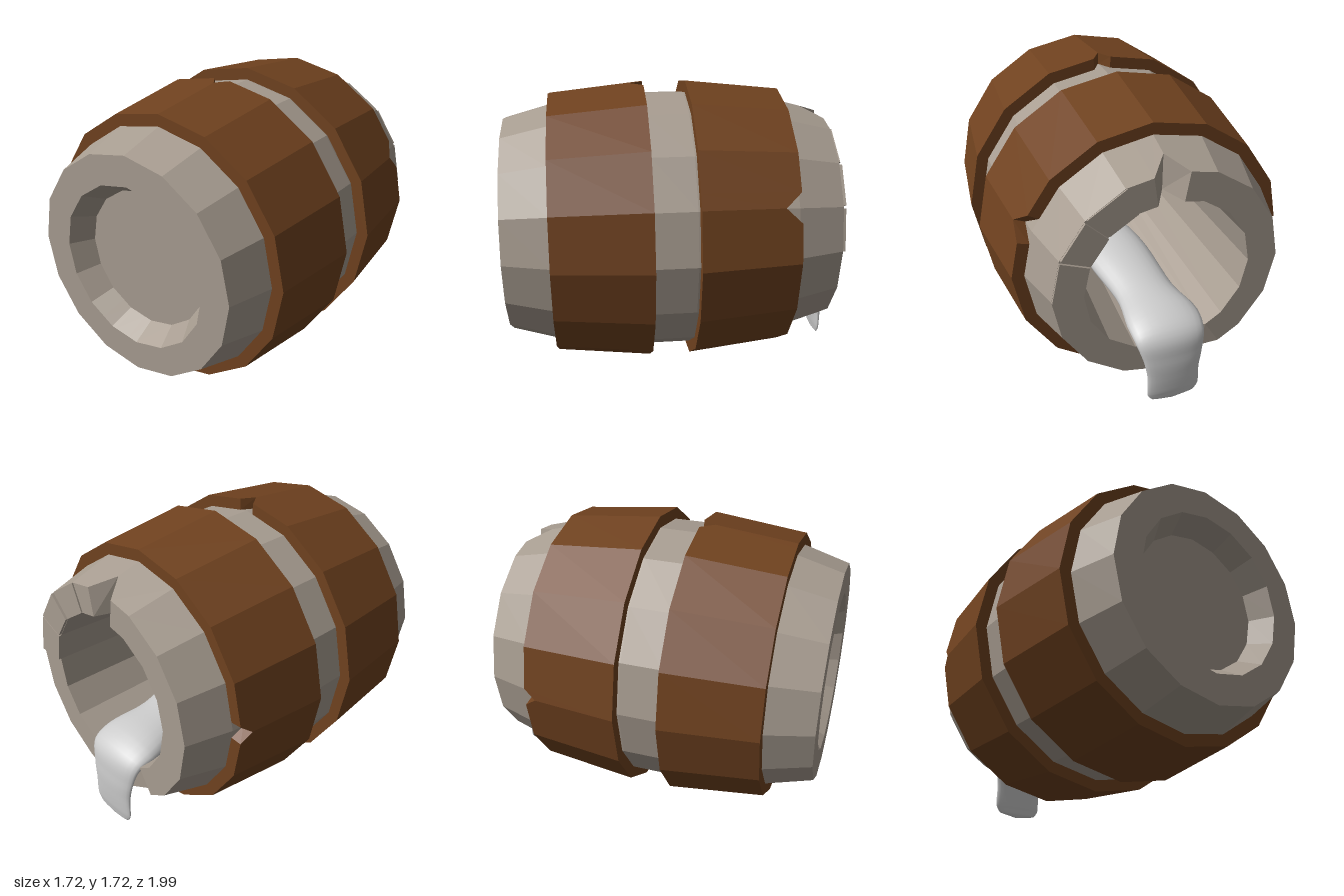
import * as THREE from 'three';

const CY = 0.86, STEP = Math.PI / 8;
const wood = new THREE.MeshStandardMaterial({ color: 0xa89d91, flatShading: true, side: THREE.DoubleSide });
const hoopMat = new THREE.MeshStandardMaterial({ color: 0x70421f, flatShading: true, side: THREE.DoubleSide });
const grey = new THREE.MeshStandardMaterial({ color: 0xcccccc });

// Point on a 16-sided ring; k counts corners clockwise from the top, fractions lie on the flats
function onRing(k, r, z) {
  const f = k - Math.floor(k) - 0.5;
  const R = r * Math.cos(STEP / 2) / Math.cos(f * STEP);
  return new THREE.Vector3(Math.sin(k * STEP) * R, CY + Math.cos(k * STEP) * R, z);
}

// V-shaped chip: depth at corner position k for a chip centred on c
function chip(k, c, w, depth) {
  let d = Math.abs(k - c) % 16;
  d = Math.min(d, 16 - d);
  return Math.max(0, 1 - d / w) * depth;
}

// Sweep a profile [[r, z], ...] around the ring, letting it vary with k
function sweep(extra, profile) {
  const ks = [...new Set([...Array(16).keys(), ...extra.map(k => (k + 16) % 16)])].sort((a, b) => a - b);
  const pos = [];
  ks.forEach((k0, i) => {
    const k1 = i + 1 < ks.length ? ks[i + 1] : 16;
    const p = profile(k0).map(([r, z]) => onRing(k0, r, z));
    const q = profile(k1).map(([r, z]) => onRing(k1, r, z));
    for (let j = 0; j + 1 < p.length; j++) {
      for (const tri of [[p[j], q[j], q[j + 1]], [p[j], q[j + 1], p[j + 1]]]) {
        if (new THREE.Triangle(...tri).getArea() > 1e-7) tri.forEach(v => pos.push(v.x, v.y, v.z));
      }
    }
  });
  const g = new THREE.BufferGeometry();
  g.setAttribute('position', new THREE.Float32BufferAttribute(pos, 3));
  g.computeVertexNormals();
  return g;
}

function add(group, name, geo, mat) {
  const m = new THREE.Mesh(geo, mat);
  m.name = name;
  group.add(m);
}

// Tongue-like drape: elliptical sections along a path in the y-z plane
function drapeGeometry() {
  // x, y, z, half width, half thickness
  const rows = [
    [0.04, 0.54, 0.2, 0.01, 0.01],
    [0.04, 0.54, 0.14, 0.15, 0.08],
    [0.03, 0.53, -0.2, 0.2, 0.1],
    [-0.01, 0.49, -0.55, 0.18, 0.09],
    [-0.03, 0.47, -0.8, 0.22, 0.08],
    [-0.03, 0.43, -0.91, 0.21, 0.06],
    [-0.035, 0.32, -0.95, 0.18, 0.04],
    [-0.035, 0.2, -0.962, 0.16, 0.032],
    [-0.035, 0.08, -0.966, 0.16, 0.022],
    [-0.035, 0.03, -0.966, 0.13, 0.014],
    [-0.035, 0.008, -0.966, 0.01, 0.003]
  ];
  const path = new THREE.CatmullRomCurve3(rows.map(r => new THREE.Vector3(r[0], r[1], r[2])));
  const size = new THREE.CatmullRomCurve3(rows.map(r => new THREE.Vector3(r[3], r[4], 0)));
  const N = 50, M = 24, pos = [], idx = [];
  const X = new THREE.Vector3(1, 0, 0);
  for (let i = 0; i <= N; i++) {
    const c = path.getPoint(i / N), s = size.getPoint(i / N);
    const n = X.clone().cross(path.getTangent(i / N)).normalize();
    for (let j = 0; j < M; j++) {
      const a = j / M * Math.PI * 2;
      const p = c.clone().addScaledVector(X, s.x * Math.cos(a)).addScaledVector(n, s.y * Math.sin(a));
      pos.push(p.x, p.y, p.z);
      if (i < N) {
        const a0 = i * M + j, b0 = i * M + (j + 1) % M;
        idx.push(a0, a0 + M, b0, b0, a0 + M, b0 + M);
      }
    }
  }
  const g = new THREE.BufferGeometry();
  g.setAttribute('position', new THREE.Float32BufferAttribute(pos, 3));
  g.setIndex(idx);
  g.computeVertexNormals();
  return g;
}

export function createModel() {
  const group = new THREE.Group();
  group.name = 'barrel';

  // Barrel body: recessed front lid, bulging wall, chipped rear rim and deep hollow
  add(group, 'barrelBody', sweep([-0.4, 0.4, 8.3, 8.85, 9.4], k => {
    const d = chip(k, 0, 0.4, 0.13) + chip(k, 8.85, 0.55, 0.1);
    return [
      [0, 0.87], [0.405, 0.87], [0.48, 1], [0.655, 1], [0.73, 0.73], [0.79, 0.17],
      [0.79, -0.07], [0.73, -0.64], [0.655 + d * 0.28, -0.91 + d], [0.48, -0.91 + d],
      [0.41, 0.75], [0, 0.75]
    ];
  }), wood);

  // Hoops with small V chips in their rear edges
  const hoop = (name, front, rear, rf, rr, chips) => {
    const extra = chips.flatMap(([c, w]) => [c - w, c, c + w]);
    add(group, name, sweep(extra, k => {
      const d = chips.reduce((s, [c, w, h]) => s + chip(k, c, w, h), 0);
      const slope = (rf - rr) / (front - rear) * d;
      return [
        [rf - 0.07, front], [rf, front], [rr + slope, rear + d],
        [rr - 0.07 + slope, rear + d], [rf - 0.07, front]
      ];
    }), hoopMat);
  };
  hoop('frontHoop', 0.73, 0.17, 0.8, 0.86, [[0, 0.16, 0.08]]);
  hoop('rearHoop', -0.08, -0.64, 0.86, 0.8, [[3, 0.28, 0.095], [12, 0.18, 0.07]]);

  // Stave ends standing slightly proud of the rear rim
  [[0.98, 1.97, 0.008], [2.03, 2.97, 0.016], [3.03, 4, 0.014]].forEach(([a, b, h]) => {
    const corners = [[a, 0.482], [a, 0.654], [b, 0.654], [b, 0.482]].map(([k, r]) => {
      const p = onRing(k, r, 0);
      return new THREE.Vector2(p.x, p.y);
    });
    const g = new THREE.ExtrudeGeometry(new THREE.Shape(corners), { depth: h + 0.01, bevelEnabled: false });
    g.translate(0, 0, -0.91 - h);
    add(group, 'staveEnd', g, wood);
  });

  // Soft drape spilling out over the rear rim
  add(group, 'drape', drapeGeometry(), grey);
  return group;
}
